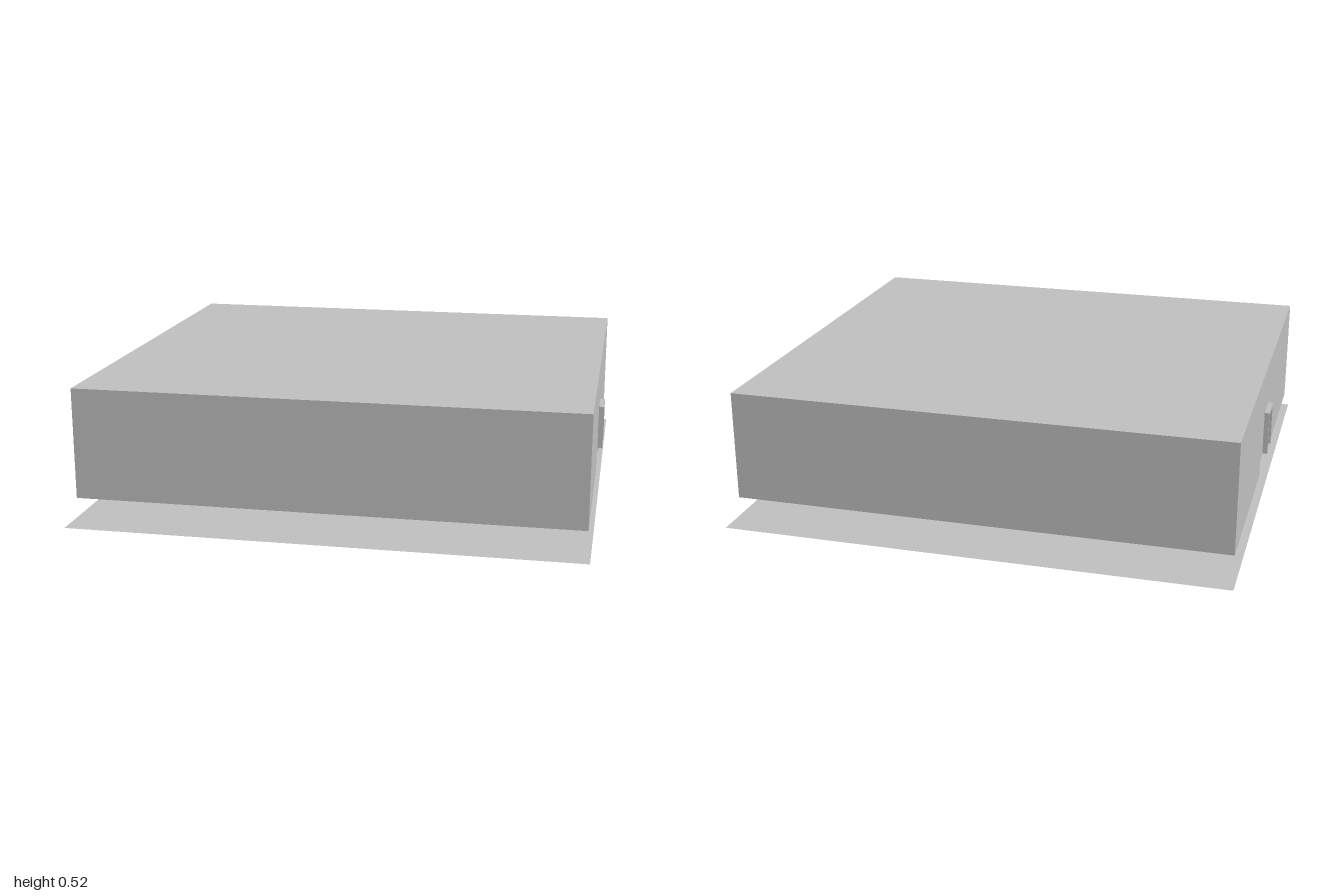
import * as THREE from 'three';

const HX = 0.98, HZ = 0.89;             // half size of the building
const Y0 = 0.088, FLOOR = 0.16, TOP = 0.525;
const WALL = 0.02;

export function createModel() {
  const group = new THREE.Group();
  const grey = new THREE.MeshStandardMaterial({ color: 0xc0c0c0, side: THREE.DoubleSide });
  grey.name = 'plain grey';

  const add = (name, geometry, x = 0, y = 0, z = 0) => {
    const mesh = new THREE.Mesh(geometry, grey);
    mesh.name = name;
    mesh.position.set(x, y, z);
    group.add(mesh);
    return mesh;
  };
  const box = (name, w, h, d, x, y, z) => add(name, new THREE.BoxGeometry(w, h, d), x, y, z);
  const sheet = (name, w, d, y) => add(name, new THREE.PlaneGeometry(w, d).rotateX(-Math.PI / 2), 0, y, 0);
  const outline = (points) => new THREE.Shape(points.map(([a, b]) => new THREE.Vector2(a, b)));

  // Ground sheet and the underside of the floating hall
  sheet('groundSheet', 1.986, 1.984, 0);
  sheet('underside', HX * 2, HZ * 2, Y0);

  // Base with a splayed recess below each doorway
  const plan = outline([
    [-HX, -HZ], [HX, -HZ],
    [HX, -0.135], [HX - 0.09, -0.065], [HX - 0.09, 0.065], [HX, 0.135],
    [HX, HZ], [-HX, HZ],
    [-HX, 0.135], [-HX + 0.09, 0.065], [-HX + 0.09, -0.065], [-HX, -0.135],
  ]);
  const base = new THREE.ExtrudeGeometry(plan, { depth: FLOOR - Y0, bevelEnabled: false });
  add('base', base.rotateX(-Math.PI / 2), 0, Y0, 0);

  // Roof, front and back walls
  box('roof', HX * 2, WALL, HZ * 2, 0, TOP - WALL / 2, 0);
  const wallHeight = TOP - WALL - FLOOR;
  for (const s of [1, -1]) {
    box(s > 0 ? 'frontWall' : 'backWall', HX * 2, wallHeight, WALL,
      0, FLOOR + wallHeight / 2, s * (HZ - WALL / 2));
  }

  // Side walls with a doorway, landing and projecting door frame
  const inner = HZ - WALL;
  const sideShape = outline([
    [-inner, FLOOR], [-0.055, FLOOR], [-0.055, 0.328], [0.055, 0.328],
    [0.055, FLOOR], [inner, FLOOR], [inner, TOP - WALL], [-inner, TOP - WALL],
  ]);
  const sideGeometry = new THREE.ExtrudeGeometry(sideShape, { depth: WALL, bevelEnabled: false });
  sideGeometry.rotateY(Math.PI / 2);
  for (const s of [1, -1]) {
    const side = s > 0 ? 'left' : 'right';
    add(side + 'Wall', sideGeometry, s > 0 ? HX - WALL : -HX);
    box(side + 'Landing', 0.09, 0.004, 0.27, s * (HX - 0.045), FLOOR - 0.002, 0);
    for (const t of [1, -1]) {
      box(side + 'DoorJamb', 0.02, 0.178, 0.01, s * 0.99, 0.249, t * 0.06);
    }
    box(side + 'DoorLintel', 0.02, 0.01, 0.11, s * 0.99, 0.333, 0);
  }

  // Pointed ornament hanging in the middle of the hall
  const profile = [[0, 0.193], [0.016, 0.193], [0.016, 0.272], [0, 0.303]]
    .map(([r, y]) => new THREE.Vector2(r, y));
  const ornament = new THREE.LatheGeometry(profile, 8).toNonIndexed();
  ornament.computeVertexNormals();
  add('hallOrnament', ornament, 0, 0, 0.01);

  return group;
}
